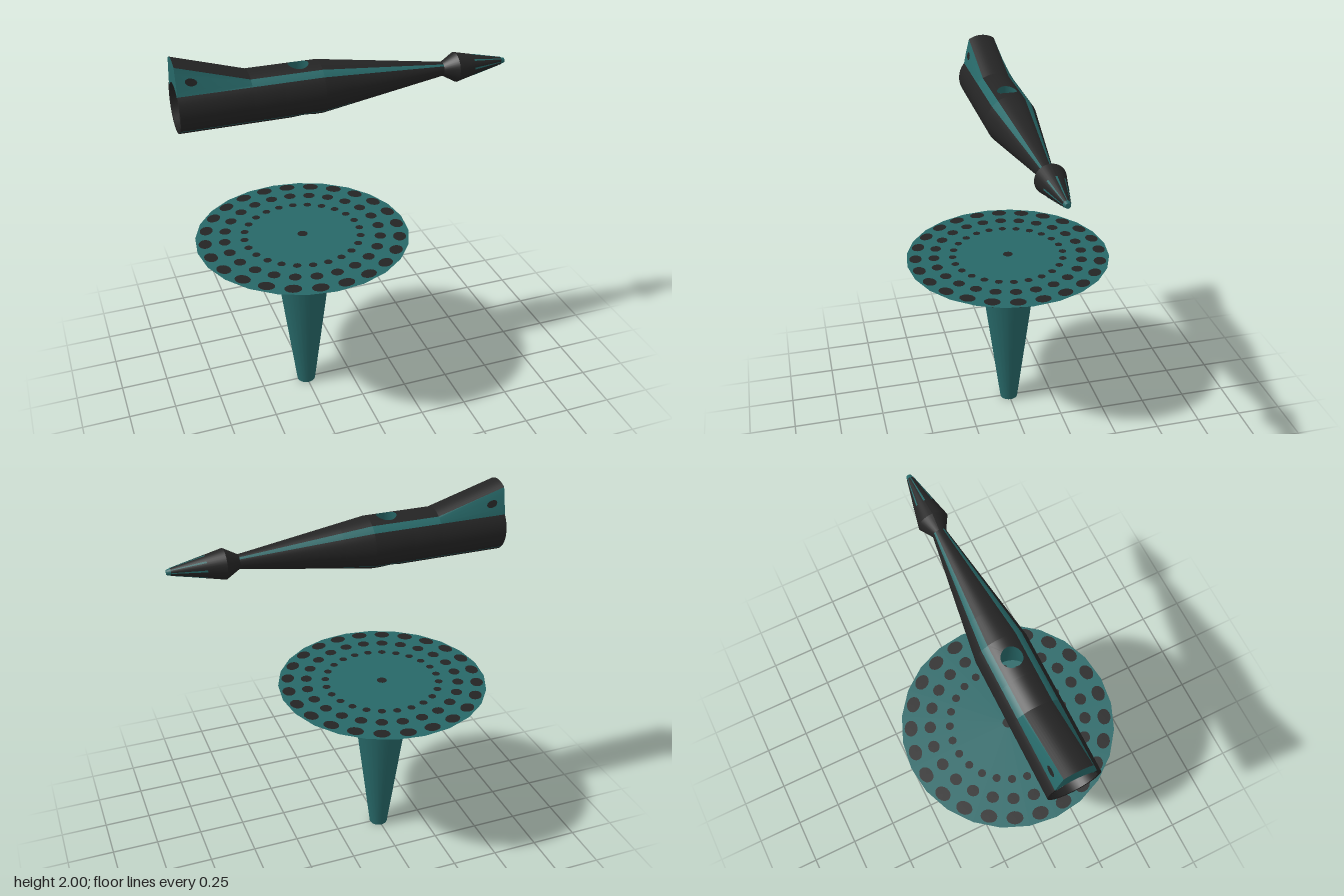
import * as THREE from 'three';

const teal = new THREE.MeshStandardMaterial({ color: 0x276868, side: THREE.DoubleSide });
teal.name = 'deep teal';
const dark = new THREE.MeshStandardMaterial({ color: 0x242424, side: THREE.DoubleSide });
dark.name = 'charcoal';

const AXIS = 1.767, R = 0.13, TAIL = -0.85, CX = -0.25, DEG = Math.PI / 180;
const lerp = THREE.MathUtils.lerp, clamp = THREE.MathUtils.clamp;

// Smooth surface from a rule f(u, v) -> [x, y, z]; faces towards dv x du
function grid(f, nu, nv) {
  const pos = [], idx = [];
  for (let i = 0; i <= nu; i++)
    for (let j = 0; j <= nv; j++) pos.push(...f(i / nu, j / nv));
  for (let i = 0; i < nu; i++)
    for (let j = 0; j < nv; j++) {
      const a = i * (nv + 1) + j, b = a + nv + 1;
      idx.push(a, a + 1, b, b, a + 1, b + 1);
    }
  const g = new THREE.BufferGeometry();
  g.setAttribute('position', new THREE.Float32BufferAttribute(pos, 3));
  g.setIndex(idx);
  g.computeVertexNormals();
  return g;
}

function add(parent, name, geometry, material) {
  const m = new THREE.Mesh(geometry, material);
  m.name = name;
  parent.add(m);
  return m;
}

// Hull surface: round section, raised into a fin at the tail; a is degrees from straight up
function hull(x, a, lift = 0) {
  const r = (x < -0.15 ? R : lerp(R, 0.035, (x + 0.15) / 0.65)) + lift;
  const fin = 0.105 * clamp((-0.5 - x) / 0.35, 0, 1);
  const off = Math.abs(a > 180 ? a - 360 : a);
  const ramp = clamp((50 - off) / 18, 0, 1);
  return [x, AXIS + r * Math.cos(a * DEG) + fin * ramp, r * Math.sin(a * DEG)];
}

// Surface of revolution about the hull axis
const turned = (x0, r0, x1, r1, a0 = 0, a1 = 360, n = 32) => grid((u, v) => {
  const a = lerp(a0, a1, v) * DEG, r = lerp(r0, r1, u);
  return [lerp(x0, x1, u), AXIS + r * Math.cos(a), r * Math.sin(a)];
}, 1, n);

function buildHull(group) {
  const xs = [TAIL, -0.5, -0.35, -0.15, 0, 0.5];
  const bands = [
    ['topBand', -32, 32, dark], ['sideStripe', 32, 50, teal], ['sidePanel', 50, 134, dark],
    ['lowerStripe', 134, 137, teal], ['bellyBand', 137, 223, dark], ['lowerStripe', 223, 226, teal],
    ['sidePanel', 226, 310, dark], ['sideStripe', 310, 328, teal],
  ];
  for (let s = 0; s < xs.length - 1; s++)
    for (const [name, a0, a1, mat] of bands) {
      if (s === 2 && (name === 'topBand' || name === 'bellyBand')) continue; // left open for the socket
      const g = grid((u, v) => hull(lerp(xs[s], xs[s + 1], u), lerp(a0, a1, v)), 1, Math.ceil((a1 - a0) / 5));
      add(group, name, g, name === 'lowerStripe' && s === 4 ? dark : mat);
    }

  // Socket through the hull: a holed patch above and below, joined by a flared wall
  const patch = (sign, hole, halfAngle) => {
    const hx = 0.1, hz = R * Math.sin(halfAngle * DEG);
    const c = [[hx, -hz], [hx, hz], [-hx, hz], [-hx, -hz]];
    return grid((u, v) => {
      const t = (sign > 0 ? v : 1 - v) * 4, k = Math.floor(t) % 4, f = t - Math.floor(t);
      const px = lerp(c[k][0], c[(k + 1) % 4][0], f), pz = lerp(c[k][1], c[(k + 1) % 4][1], f);
      const phi = Math.atan2(pz, px);
      const x = lerp(hole * Math.cos(phi), px, u), z = lerp(hole * Math.sin(phi), pz, u);
      return [CX + x, AXIS + sign * Math.sqrt(R * R - z * z), z];
    }, 5, 48);
  };
  add(group, 'socketTop', patch(1, 0.05, 32), dark);
  add(group, 'socketBottom', patch(-1, 0.083, 43), dark);
  add(group, 'socketWall', grid((u, v) => {
    const r = lerp(0.05, 0.083, u), phi = v * 2 * Math.PI, z = r * Math.sin(phi);
    const y = lerp(1, -1, u) * Math.sqrt(R * R - z * z);
    return [CX + r * Math.cos(phi), AXIS + y, z];
  }, 1, 48), teal);

  // Tail end: fin back, rim and shallow dark recess
  const rim = (a0, a1) => grid((u, v) => {
    const a = lerp(a0, a1, v), [, y, z] = hull(TAIL, a), r = 0.112;
    return [TAIL, lerp(AXIS + r * Math.cos(a * DEG), y, u), lerp(r * Math.sin(a * DEG), z, u)];
  }, 1, 50);
  add(group, 'finBack', rim(-50, 50), teal);
  add(group, 'tailRim', rim(50, 310), dark);
  add(group, 'recessWall', turned(TAIL + 0.05, 0.112, TAIL, 0.112), dark);
  add(group, 'recessFloor', turned(TAIL + 0.05, 0, TAIL + 0.05, 0.112), dark);

  // Dark port on each side of the fin
  for (const side of [1, -1])
    add(group, 'finPort', grid((u, v) => {
      const t = v * 2 * Math.PI;
      return hull(-0.78 + 0.028 * u * Math.cos(t), side * (41 + 2.8 * u * Math.sin(t)), 0.004);
    }, 1, 16), dark);
}

function buildNose(group) {
  add(group, 'noseCollar', turned(0.5, 0.035, 0.57, 0.075), dark);
  add(group, 'noseCone', turned(0.57, 0.075, 0.825, 0.018), dark);
  add(group, 'noseTip', turned(0.825, 0.018, 0.845, 0.012), teal);
  add(group, 'noseCap', turned(0.845, 0.012, 0.845, 0), teal);
  // Thin stripes along the cone
  for (let a = 0; a < 360; a += 45)
    add(group, 'noseStripe', turned(0.66, 0.0565, 0.826, 0.0195, a - 5, a + 5, 2), teal);
}

function buildStand(group) {
  const lathe = (pts) => new THREE.LatheGeometry(pts.map(([r, y]) => new THREE.Vector2(r, y)), 24);
  add(group, 'stem', lathe([[0.05, 0], [0.15, 0.79]]), teal);
  add(group, 'flare', lathe([[0.15, 0.79], [0.555, 0.95]]), teal);
  add(group, 'dishTop', lathe([[0.555, 0.95], [0, 0.95]]), teal);
  add(group, 'stemFoot', lathe([[0, 0.001], [0.05, 0.001]]), teal);

  const disc = new THREE.CircleGeometry(1, 14);
  const dot = (name, y, r, turn) => {
    const m = add(group, name, disc, dark);
    m.scale.set(r, r, 1);
    m.rotation.x = turn;
    m.position.y = y;
  };
  dot('centreDot', 0.953, 0.027, -Math.PI / 2);
  dot('footDot', 0, 0.028, Math.PI / 2);

  // Three rings of spots, one spot per facet, above and below the dish
  const slope = 0.398, tilt = Math.atan(slope);
  const rings = [[0.303, 0.021, 0.021], [0.405, 0.03, 0.032], [0.505, 0.034, 0.043]];
  for (let i = 0; i < 24; i++) {
    const spoke = new THREE.Group();
    spoke.name = 'spotRow';
    spoke.rotation.y = (i + 0.5) * 15 * DEG;
    group.add(spoke);
    for (const [r, radial, across] of rings) {
      const top = add(spoke, 'topSpot', disc, dark);
      top.rotation.x = -Math.PI / 2;
      top.position.set(r, 0.953, 0);
      top.scale.set(radial, across, 1);
      const under = add(spoke, 'underSpot', disc, dark);
      under.rotation.set(Math.PI / 2, 0, tilt, 'ZYX');
      under.position.set(r, 0.79 + (r - 0.1487) * slope - 0.004, 0);
      under.scale.set(radial, across, 1);
    }
  }
  group.position.x = CX;
}

export function createModel() {
  const model = new THREE.Group();
  model.name = 'rocketAndStand';
  for (const [name, build] of [['hull', buildHull], ['nose', buildNose], ['stand', buildStand]]) {
    const part = new THREE.Group();
    part.name = name;
    build(part);
    model.add(part);
  }
  return model;
}
